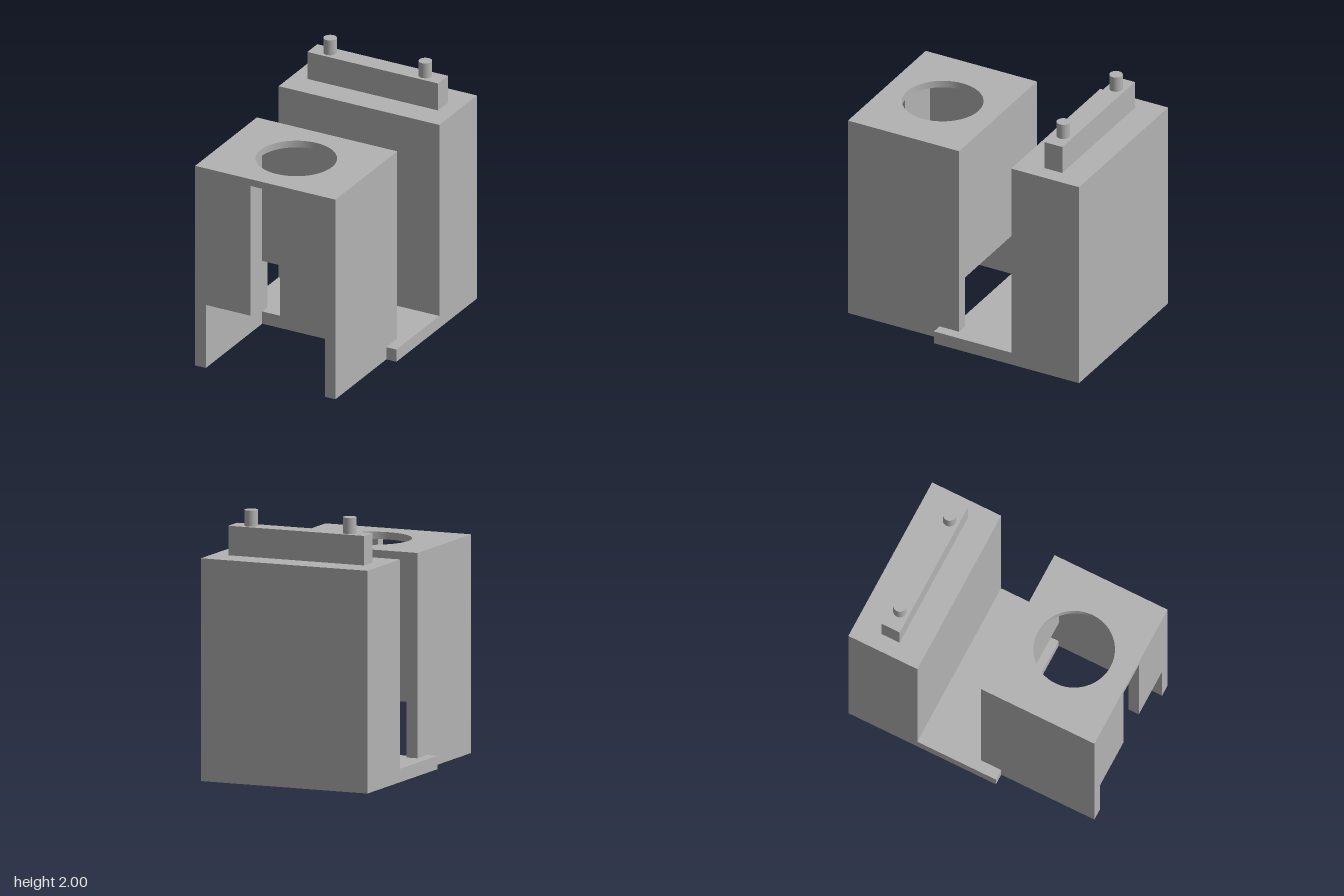
import * as THREE from 'three';

export function createModel() {
  const model = new THREE.Group();
  const grey = new THREE.MeshStandardMaterial({ color: 0xb3b3b3 });
  grey.name = 'plain grey';

  function add(name, geometry, parent = model) {
    const mesh = new THREE.Mesh(geometry, grey);
    mesh.name = name;
    parent.add(mesh);
    return mesh;
  }

  // Box given by its lower and upper limits on each axis
  function block(name, [x0, x1], [y0, y1], [z0, z1], parent) {
    const mesh = add(name, new THREE.BoxGeometry(x1 - x0, y1 - y0, z1 - z0), parent);
    mesh.position.set((x0 + x1) / 2, (y0 + y1) / 2, (z0 + z1) / 2);
    return mesh;
  }

  // Shape mirrored about x = 0 from the points of its right half
  function mirrored(half) {
    const points = half.map(([x, y]) => new THREE.Vector2(x, y));
    const other = half.map(([x, y]) => new THREE.Vector2(-x, y)).reverse();
    return new THREE.Shape([...points, ...other]);
  }

  // Upright panel in the XY plane
  function panel(name, shape, z0, depth, parent) {
    const geometry = new THREE.ExtrudeGeometry(shape, { depth, bevelEnabled: false });
    return add(name, geometry.translate(0, 0, z0), parent);
  }

  // Horizontal slab drawn with shape y as -z
  function slab(name, shape, y0, depth, parent) {
    const geometry = new THREE.ExtrudeGeometry(shape, { depth, bevelEnabled: false, curveSegments: 48 });
    return add(name, geometry.rotateX(-Math.PI / 2).translate(0, y0, 0), parent);
  }

  // Rear block with its top bar and two pins
  block('rearBlock', [-0.675, 0.675], [0, 1.66], [-0.995, -0.425]);
  block('topBar', [-0.55, 0.55], [1.66, 1.88], [-0.785, -0.635]);
  for (const x of [-0.4, 0.4]) {
    add('pin', new THREE.CylinderGeometry(0.05, 0.05, 0.12, 32)).position.set(x, 1.94, -0.71);
  }

  // Base plate joining the two halves, notched inside the housing
  slab('basePlate', mirrored([[0.5, -0.14], [0.5, -0.225], [0.675, -0.225], [0.675, 0.425]]), 0, 0.1);

  // Hollow front housing
  const housing = new THREE.Group();
  housing.name = 'frontHousing';
  model.add(housing);
  const W = 0.59, IN = 0.5, TOP = 1.63, CEIL = 1.575, OPEN = 0.515, SLOT = 0.125;
  const BACK = 0.06, FRONT = 0.995, T = 0.085;

  for (const s of [-1, 1]) {
    const xs = s > 0 ? [IN, W] : [-W, -IN];
    block('sideWall', xs, [0, CEIL], [BACK, FRONT], housing);
    // Front wall halves beside the slot, above the wide opening
    block('frontWall', s > 0 ? [SLOT, IN] : [-IN, -SLOT], [OPEN, CEIL], [FRONT - T, FRONT], housing);
  }
  panel('backWall', mirrored([[IN, OPEN], [IN, CEIL]]), BACK, T, housing);

  // Roof with the round opening
  const roof = mirrored([[W, -FRONT], [W, -BACK]]);
  const hole = new THREE.Path();
  hole.absarc(0, -0.525, 0.3, 0, Math.PI * 2, true);
  roof.holes.push(hole);
  slab('roof', roof, CEIL, TOP - CEIL, housing);

  return model;
}
